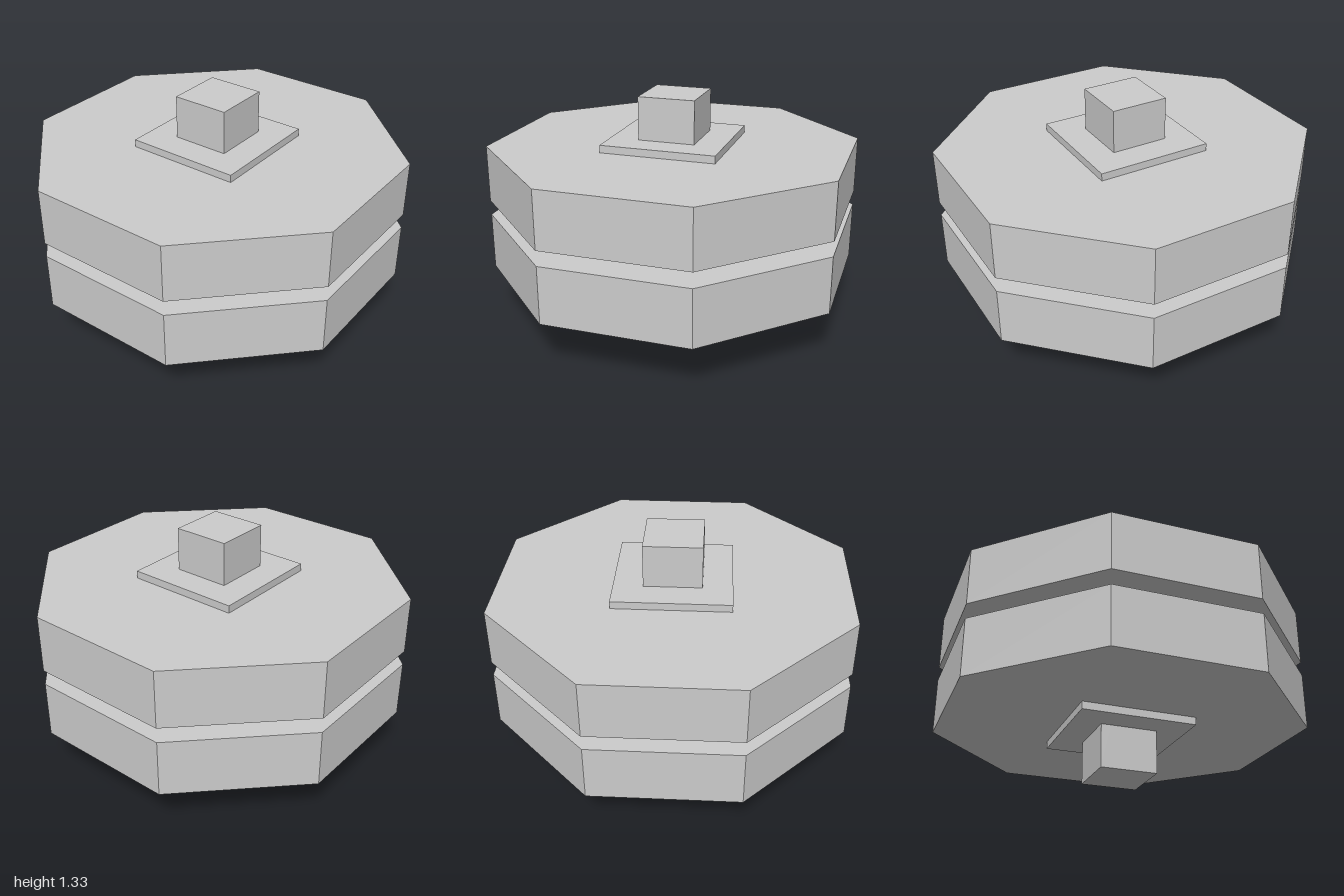
import * as THREE from 'three';

export function createModel() {
  const model = new THREE.Group();
  model.name = 'twinWheelOnAxle';
  const material = new THREE.MeshStandardMaterial({ color: 0xcccccc, flatShading: true });
  const middle = 2 / 3; // height of the plane of symmetry

  function addPart(name, geometry, y) {
    const mesh = new THREE.Mesh(geometry, material);
    mesh.name = name;
    mesh.position.y = y;
    model.add(mesh);
  }

  // Square axle running the full height, with a wider square hub around it
  addPart('axle', new THREE.BoxGeometry(0.33, 4 / 3, 0.33), middle);
  addPart('hub', new THREE.BoxGeometry(2 / 3, 5 / 6, 2 / 3), middle);

  // Two octagonal discs, turned so that flat sides face the axes
  const disc = new THREE.CylinderGeometry(1 / Math.cos(Math.PI / 8), 1 / Math.cos(Math.PI / 8), 0.33, 8);
  disc.rotateY(Math.PI / 8);
  addPart('lowerDisc', disc, middle - 0.208);
  addPart('upperDisc', disc, middle + 0.208);

  return model;
}
